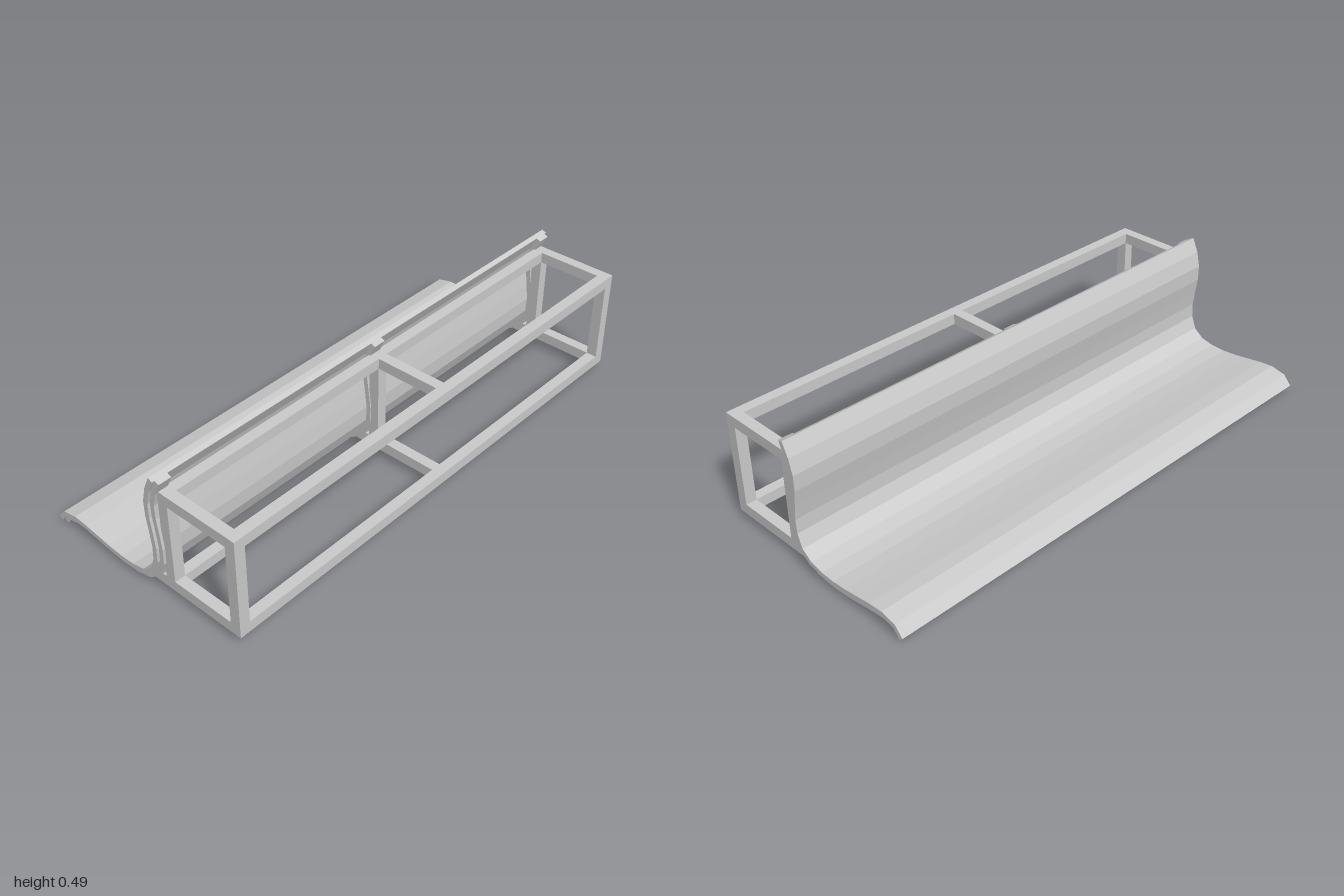
import * as THREE from 'three';

const material = new THREE.MeshStandardMaterial({ color: 0xcccccc, flatShading: true });

// Seating surface as [z, y], from the top of the backrest to the seat lip
const PROFILE = [
  [0.092, 0.49], [0.068, 0.437], [0.054, 0.378], [0.055, 0.318], [0.064, 0.258],
  [0.071, 0.2], [0.069, 0.146], [0.05, 0.096], [0.01, 0.065], [-0.042, 0.053],
  [-0.1, 0.05], [-0.16, 0.055], [-0.22, 0.063], [-0.28, 0.072], [-0.337, 0.076],
  [-0.398, 0.063], [-0.431, 0.026],
].map(([z, y]) => new THREE.Vector2(z, y));

// Mitred parallel of the profile, d units towards the underside
function offset(d) {
  const normal = (a, b) => {
    const t = b.clone().sub(a).normalize();
    return new THREE.Vector2(-t.y, t.x);
  };
  return PROFILE.map((p, i) => {
    const last = PROFILE.length - 1;
    const n0 = i > 0 ? normal(PROFILE[i - 1], p) : normal(p, PROFILE[1]);
    const n1 = i < last ? normal(p, PROFILE[i + 1]) : n0;
    const m = n0.clone().add(n1).normalize();
    return p.clone().addScaledVector(m, d / m.dot(n0));
  });
}

// Extrudes a [z, y] outline along x, centred on the given x
function extrudeX(name, outline, width, x = 0) {
  const g = new THREE.ExtrudeGeometry(new THREE.Shape(outline), { depth: width, bevelEnabled: false });
  g.translate(0, 0, -width / 2);
  g.rotateY(-Math.PI / 2);
  const mesh = new THREE.Mesh(g, material);
  mesh.name = name;
  mesh.position.x = x;
  return mesh;
}

// Box given by its limits on each axis
function bar(name, x0, x1, y0, y1, z0, z1) {
  const mesh = new THREE.Mesh(new THREE.BoxGeometry(x1 - x0, y1 - y0, z1 - z0), material);
  mesh.name = name;
  mesh.position.set((x0 + x1) / 2, (y0 + y1) / 2, (z0 + z1) / 2);
  return mesh;
}

export function createModel() {
  const bench = new THREE.Group();
  bench.name = 'bench';

  // Slats following the curve
  const slats = new THREE.Group();
  slats.name = 'slats';
  const mid = offset(0.019);
  const under = offset(0.037);
  for (let i = 0; i < PROFILE.length - 1; i++) {
    slats.add(extrudeX('slat', [PROFILE[i], PROFILE[i + 1], mid[i + 1], mid[i]], 2));
  }

  // Curved ribs carrying the slats
  const ribs = new THREE.Group();
  ribs.name = 'ribs';
  for (const x of [-0.965, 0, 0.965]) {
    ribs.add(extrudeX('rib', [...mid, ...under.slice().reverse()], 0.05, x));
  }

  // Square-tube frame
  const frame = new THREE.Group();
  frame.name = 'frame';
  const T = 0.041, Y0 = 0.037, Y1 = 0.43, Z0 = 0.099, Z1 = 0.432, X = 0.98;
  for (const y of [Y0, Y1 - T]) {
    for (const z of [Z0, Z1 - T]) frame.add(bar('rail', -X, X, y, y + T, z, z + T));
  }
  for (const x of [-X, -T / 2, X - T]) {
    frame.add(bar('topCrossbar', x, x + T, Y1 - T, Y1, Z0 + T, Z1 - T));
    frame.add(bar('bottomCrossbar', x, x + T, Y0, Y0 + T, Z0 + T, Z1 - T));
    // Stub reaching the underside of the rib
    frame.add(extrudeX('ribBracket', [
      new THREE.Vector2(Z0, Y0), new THREE.Vector2(Z0, Y0 + T),
      new THREE.Vector2(0.07, Y0 + T), new THREE.Vector2(0.025, Y0),
    ], T, x + T / 2));
    frame.add(bar('backPost', x, x + T, Y0 + T, Y1 - T, Z0, Z0 + T));
    if (Math.abs(x) > 0.5) frame.add(bar('frontPost', x, x + T, Y0 + T, Y1 - T, Z1 - T, Z1));
  }

  bench.add(slats, ribs, frame);
  return bench;
}
